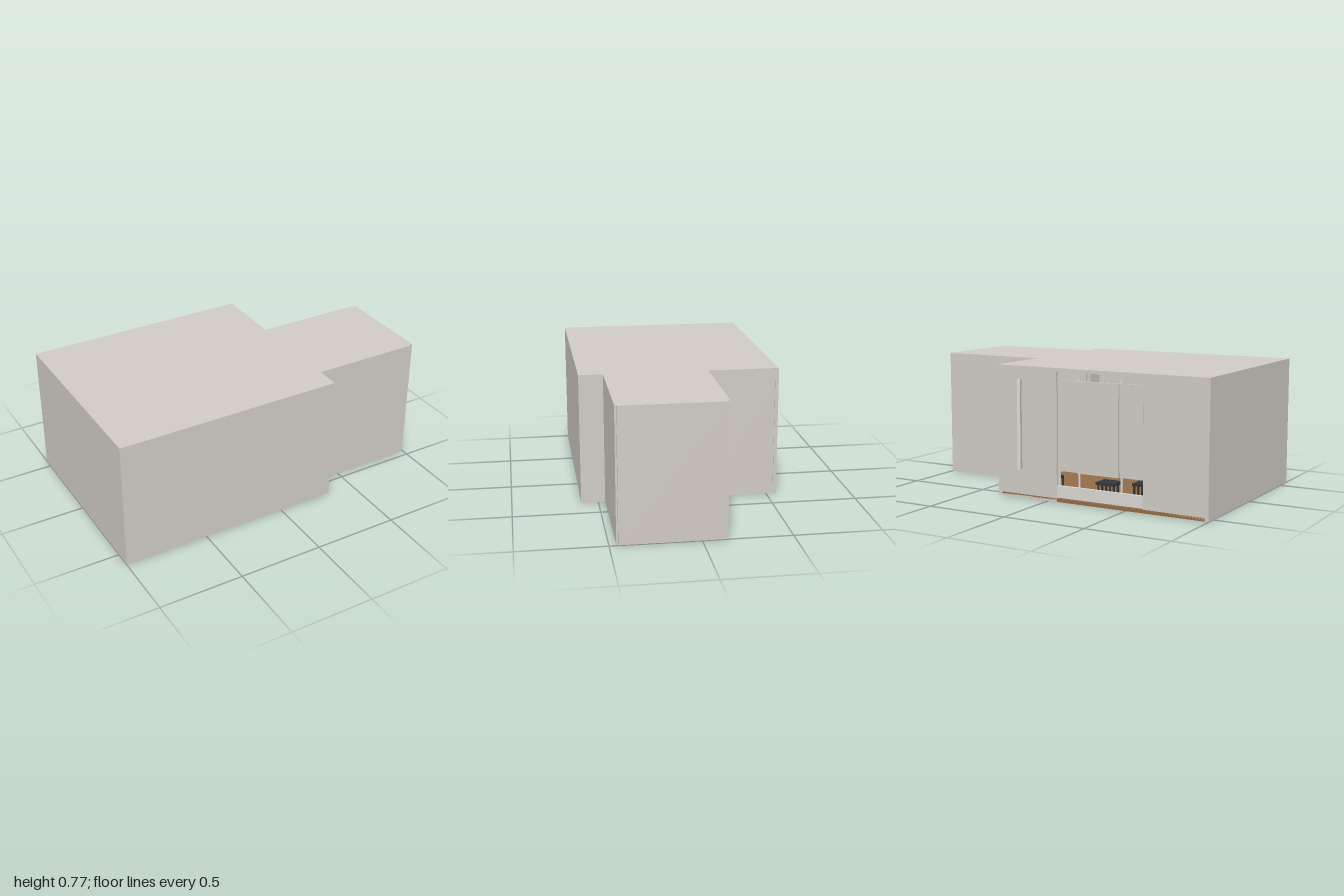
import * as THREE from 'three';

const mat = (name, color) => {
  const m = new THREE.MeshStandardMaterial({ color });
  m.name = name;
  return m;
};

export function createModel() {
  const room = new THREE.Group();
  room.name = 'room';
  const plaster = mat('warm grey plaster', 0xd0cbc4);
  const trim = mat('pale trim', 0xdad8d3);
  const wood = mat('wood floor', 0x946c48);
  const dark = mat('dark furniture', 0x34373a);
  const fabric = mat('grey fabric', 0x96948f);

  // Box given by its limits on each axis
  const box = (name, m, x0, x1, y0, y1, z0, z1, parent = room) => {
    const mesh = new THREE.Mesh(new THREE.BoxGeometry(x1 - x0, y1 - y0, z1 - z0), m);
    mesh.position.set((x0 + x1) / 2, (y0 + y1) / 2, (z0 + z1) / 2);
    mesh.name = name;
    parent.add(mesh);
    return mesh;
  };
  const H = 0.765, R = 0.745, T = 0.02;

  // Floors and roofs
  box('woodFloor', wood, -1 + T, 0.335 - T, 0, 0.02, -0.56, 0.6 - T);
  box('annexFloor', plaster, 0.335, 0.98, 0, 0.02, -0.145, 0.46);
  box('mainRoof', plaster, -1, 0.335, R, H, -0.56, 0.6);
  box('annexRoof', plaster, 0.335, 0.98, R, H, -0.145, 0.46);

  // Main room walls
  box('frontWall', plaster, -1, 0.335, 0, R, 0.6 - T, 0.6);
  box('westWall', plaster, -1, -1 + T, 0, R, -0.56, 0.6 - T);
  box('eastWallBack', plaster, 0.335 - T, 0.335, 0, R, -0.56, -0.145);
  box('eastWallFront', plaster, 0.335 - T, 0.335, 0, R, 0.46, 0.6 - T);
  box('backWallWest', plaster, -1 + T, -0.61, 0, R, -0.56, -0.54);
  box('backWallEast', plaster, -0.06, 0.335 - T, 0, R, -0.56, -0.54);
  box('cornerStrip', plaster, 0.335, 0.34, 0, H, -0.56, -0.54);

  // Side annex with a slightly inset end panel
  box('annexBackWall', plaster, 0.335, 0.98, 0.02, R, -0.145, -0.125);
  box('annexFrontWall', plaster, 0.335, 0.98, 0.02, R, 0.44, 0.46);
  box('annexEndPanel', plaster, 0.98, 1, 0, H, -0.135, 0.45);

  // Sliding window: low sill, side sashes behind, centre sash proud of the wall
  const win = new THREE.Group();
  win.name = 'slidingWindow';
  room.add(win);
  box('windowSill', trim, -0.61, -0.06, 0.025, 0.095, -0.558, -0.54, win);
  box('centreSash', plaster, -0.46, -0.2, 0.18, 0.7, -0.567, -0.553, win);
  box('eastSash', plaster, -0.2, -0.065, 0.18, 0.7, -0.552, -0.54, win);
  box('westSash', plaster, -0.605, -0.46, 0.18, 0.7, -0.552, -0.54, win);
  for (const x of [-0.61, -0.47, -0.2, -0.07])
    box('windowPost', trim, x, x + 0.01, 0.095, 0.72, -0.54, -0.53, win);

  // Tilted upright bar on the back wall
  const bar = box('uprightBar', trim, 0.169, 0.187, 0.17, 0.69, -0.599, -0.551);
  bar.rotation.y = 0.34;

  // Low slatted furniture near the window
  const slatted = (name, x0, x1, z0, z1, h) => {
    const g = new THREE.Group();
    g.name = name;
    room.add(g);
    box('top', dark, x0, x1, h - 0.015, h, z0, z1, g);
    for (let x = x0; x < x1 - 0.005; x += 0.025)
      for (const z of [z0, z1 - 0.01])
        box('slat', dark, x, x + 0.01, 0.02, h - 0.015, z, z + 0.01, g);
  };
  slatted('windowBench', -0.72, -0.48, -0.44, -0.22, 0.13);
  slatted('sideTable', -0.36, -0.24, -0.43, -0.33, 0.11);
  slatted('smallStool', 0.02, 0.1, -0.43, -0.35, 0.11);

  // Sofa along the west wall
  box('sofaSeat', fabric, -0.95, -0.66, 0.02, 0.14, 0.1, 0.52);
  box('sofaBack', fabric, -0.97, -0.9, 0.14, 0.3, 0.1, 0.52);

  // Furniture foot plates on the underside
  const feet = [
    [dark, -0.6, -0.34, 0.24, 0.17], [dark, -0.3, -0.38, 0.12, 0.09], [dark, 0.06, -0.39, 0.12, 0.06],
    [dark, -0.81, 0.02, 0.09, 0.06], [dark, -0.77, 0.5, 0.12, 0.03],
    [fabric, -0.7, 0.35, 0.1, 0.05], [fabric, -0.88, 0.2, 0.1, 0.04], [fabric, 0.245, -0.11, 0.04, 0.14],
  ];
  for (const [m, x, z, w, d] of feet)
    box('footPlate', m, x - w / 2, x + w / 2, -0.001, 0.003, z - d / 2, z + d / 2);

  return room;
}
